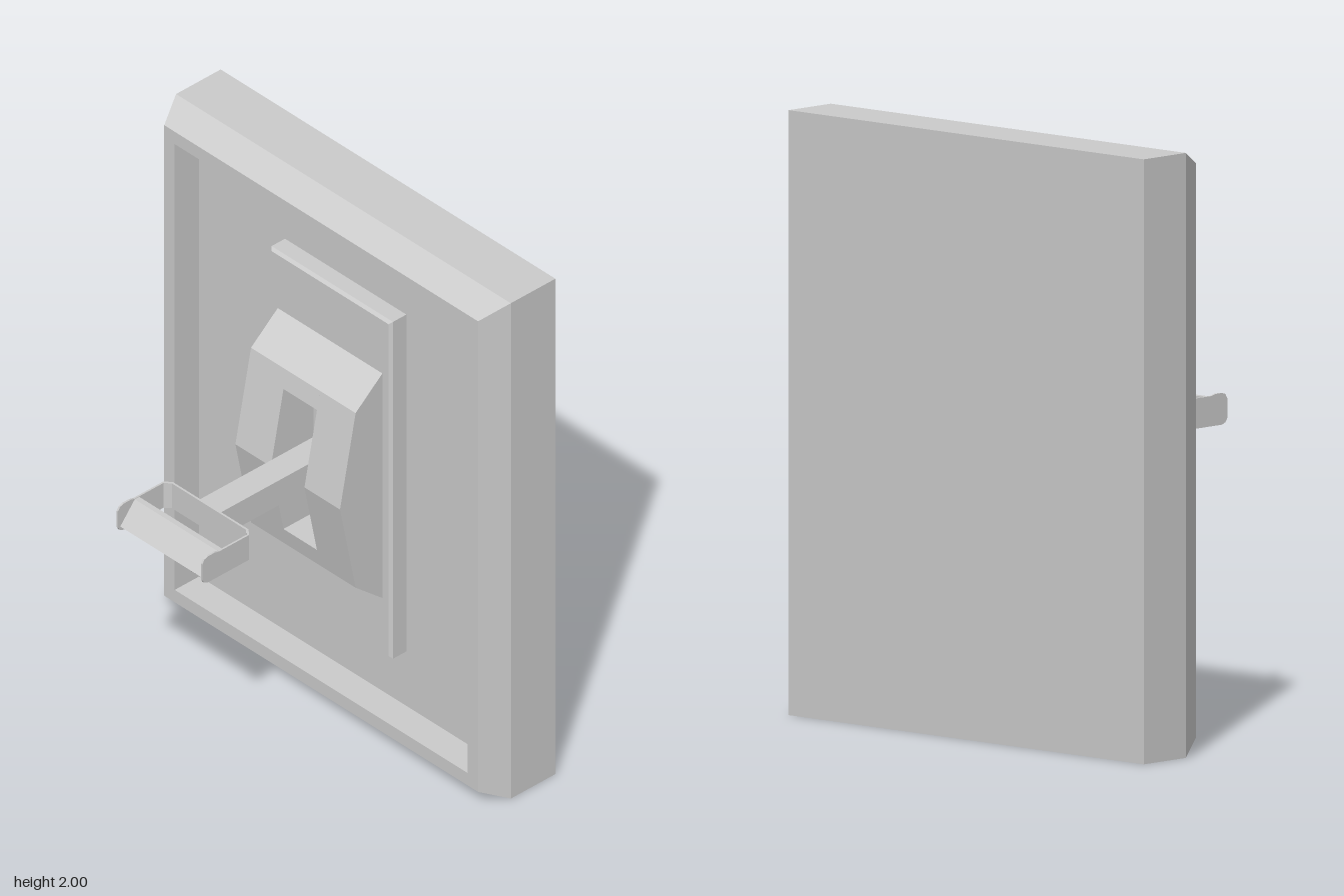
import * as THREE from 'three';

const material = new THREE.MeshStandardMaterial({ color: 0xcccccc, flatShading: true });

function part(name, geometry) {
  const mesh = new THREE.Mesh(geometry, material);
  mesh.name = name;
  return mesh;
}

// Closed skin through rectangles [halfWidth, halfHeight, z], centred on y = 1
function rectLoft(rings) {
  const corners = [[1, 1], [-1, 1], [-1, -1], [1, -1]];
  const positions = [];
  const index = [];
  for (const [w, h, z] of rings) {
    for (const [sx, sy] of corners) positions.push(sx * w, 1 + sy * h, z);
  }
  for (let i = 0; i < rings.length - 1; i++) {
    for (let k = 0; k < 4; k++) {
      const a = i * 4 + k, b = i * 4 + (k + 1) % 4;
      index.push(a, b, b + 4, a, b + 4, a + 4);
    }
  }
  const f = (rings.length - 1) * 4;
  index.push(0, 2, 1, 0, 3, 2, f, f + 1, f + 2, f, f + 2, f + 3);
  const geometry = new THREE.BufferGeometry();
  geometry.setAttribute('position', new THREE.Float32BufferAttribute(positions, 3));
  geometry.setIndex(index);
  const flat = geometry.toNonIndexed();
  flat.computeVertexNormals();
  return flat;
}

function extrude(points, depth) {
  const shape = new THREE.Shape(points.map(([a, b]) => new THREE.Vector2(a, b)));
  return new THREE.ExtrudeGeometry(shape, { depth, bevelEnabled: false });
}

// Side profile of [z, y] points, extruded from x0 to x1
function sideProfile(points, x0, x1) {
  return extrude(points, x1 - x0).rotateY(-Math.PI / 2).translate(x1, 0, 0);
}

export function createModel() {
  const model = new THREE.Group();
  model.name = 'wallSwitch';

  // Wall plate with a chamfered rim and a recessed face
  model.add(part('wallPlate', rectLoft([
    [0.8, 1, -0.51], [0.8, 1, -0.31], [0.75, 0.95, -0.21],
    [0.7, 0.9, -0.21], [0.7, 0.9, -0.32],
  ])));

  // Raised panel behind the switch housing
  model.add(part('innerPanel', rectLoft([
    [0.29, 0.68, -0.33], [0.29, 0.68, -0.26], [0.28, 0.67, -0.25],
  ])));

  // Peaked housing: two cheeks and two end blocks leave a slot for the lever
  const housing = new THREE.Group();
  housing.name = 'switchHousing';
  const cheek = [[-0.255, 0.545], [-0.13, 0.65], [-0.06, 1], [-0.13, 1.355], [-0.255, 1.46]];
  const topBlock = [[-0.255, 1.285], [-0.116, 1.285], [-0.13, 1.355], [-0.255, 1.46]];
  const bottomBlock = [[-0.255, 0.545], [-0.13, 0.65], [-0.116, 0.72], [-0.255, 0.72]];
  housing.add(
    part('rightCheek', sideProfile(cheek, -0.25, -0.08)),
    part('leftCheek', sideProfile(cheek, 0.08, 0.25)),
    part('slotTop', sideProfile(topBlock, -0.08, 0.08)),
    part('slotBottom', sideProfile(bottomBlock, -0.08, 0.08)),
  );
  model.add(housing);

  // Lever arm reaching forward out of the slot
  const lever = part('leverArm', new THREE.BoxGeometry(0.1, 0.1, 0.55));
  lever.position.set(0, 1.005, 0.015);
  model.add(lever);

  // Thin U-shaped bracket with chamfered corners
  const handle = new THREE.Group();
  handle.name = 'handle';
  const bracketPlan = [
    [-0.205, 0.305], [-0.18, 0.285], [0.18, 0.285], [0.205, 0.305],
    [0.198, 0.311], [0.177, 0.293], [-0.177, 0.293], [-0.198, 0.311],
  ];
  handle.add(part('bracketBack', extrude(bracketPlan, 0.1).rotateX(Math.PI / 2).translate(0, 1.055, 0)));

  const sideOutline = [
    [0.305, 0.955], [0.49, 0.955], [0.507, 0.962], [0.515, 0.975], [0.515, 1.04],
    [0.506, 1.055], [0.49, 1.06], [0.46, 1.06], [0.44, 1.055], [0.305, 1.055],
  ];
  for (const [name, x0] of [['bracketRightSide', -0.205], ['bracketLeftSide', 0.198]]) {
    handle.add(part(name, sideProfile(sideOutline, x0, x0 + 0.007)));
  }

  // Wedge-shaped finger grip between the bracket sides
  const grip = [[0.42, 0.957], [0.488, 0.957], [0.505, 0.975], [0.44, 1.053], [0.42, 1.053]];
  handle.add(part('fingerGrip', sideProfile(grip, -0.2, 0.2)));
  model.add(handle);

  return model;
}
